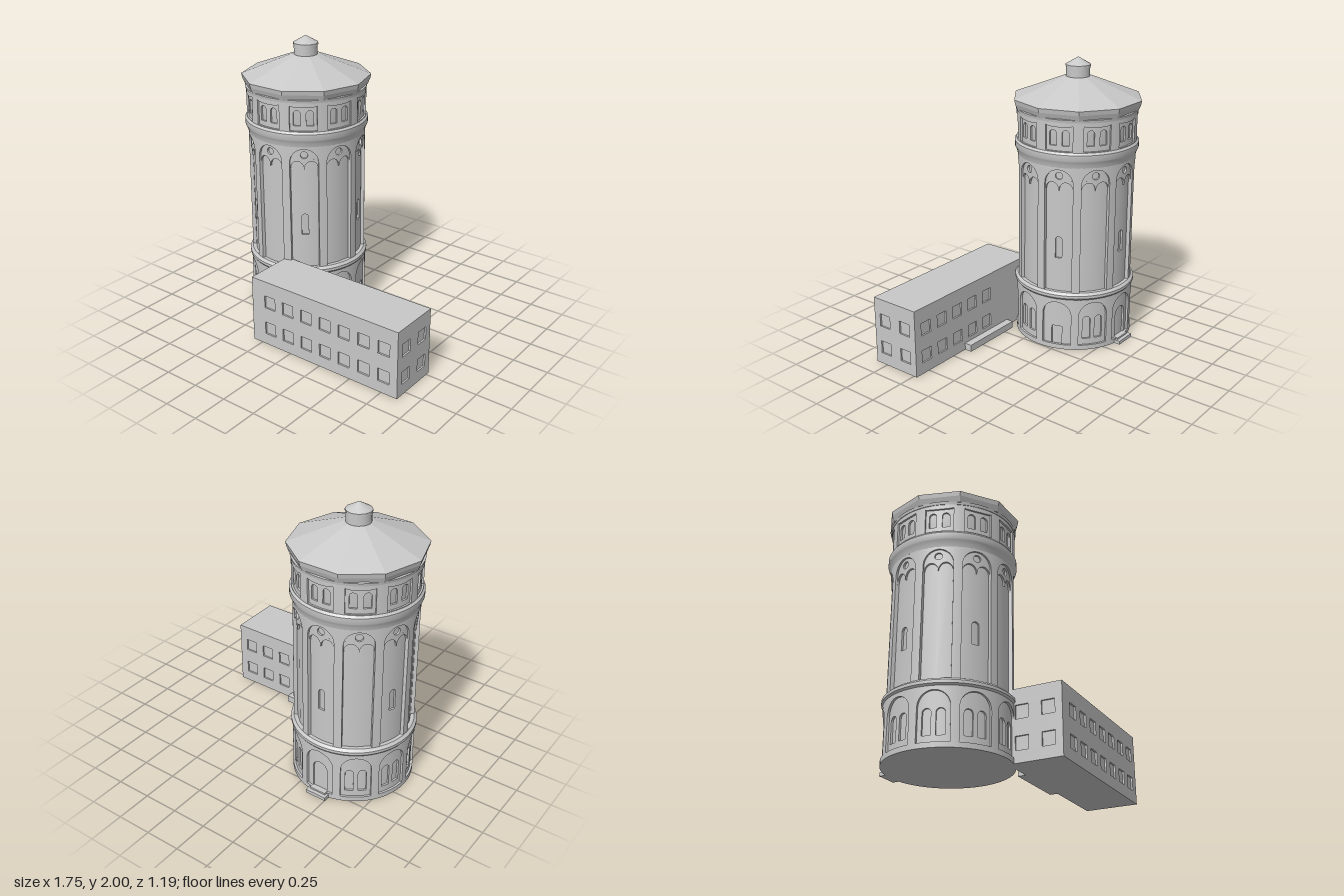
import * as THREE from 'three';
import { mergeGeometries, toCreasedNormals } from 'three/addons/utils/BufferGeometryUtils.js';

const stone = new THREE.MeshStandardMaterial({ color: 0xc8c8c8 });
stone.name = 'pale grey stone';
const DEG = Math.PI / 180;

function add(parent, name, geometry, x = 0, y = 0, z = 0) {
  const mesh = new THREE.Mesh(geometry, stone);
  mesh.name = name;
  mesh.position.set(x, y, z);
  parent.add(mesh);
  return mesh;
}

const box = (x0, x1, y0, y1, z0, z1) => new THREE.BoxGeometry(x1 - x0, y1 - y0, z1 - z0)
  .translate((x0 + x1) / 2, (y0 + y1) / 2, (z0 + z1) / 2);

// Turned part with sharp profile edges
function turned(points, sides, crease = 0.5, start = Math.PI / 2) {
  const profile = points.map(([r, y]) => new THREE.Vector2(r, y));
  return toCreasedNormals(new THREE.LatheGeometry(profile, sides, start), crease);
}

// Curved block between two angles and radii; lo and hi give its edges for t in -1..1
function block(a0, a1, lo, hi, r0, r1, n) {
  const pos = [], index = [], front = [];
  const columns = [];
  for (let i = 0; i <= n; i++) {
    const t = -Math.cos(Math.PI * i / n);
    const a = (a0 + (a1 - a0) * (t + 1) / 2) * DEG;
    const at = (r, y) => [r * Math.sin(a), y, r * Math.cos(a)];
    columns.push([at(r0, lo(t)), at(r1, lo(t)), at(r1, hi(t)), at(r0, hi(t))]);
  }
  // underside, outer face and top as separate smooth strips
  for (let s = 0; s < 3; s++) {
    const base = pos.length / 3;
    columns.forEach((c, i) => {
      if (s === 1) front.push(base + 2 * i, base + 2 * i + 1);
      pos.push(...c[s], ...c[s + 1]);
      const p = base + 2 * i;
      if (i < n) index.push(p, p + 2, p + 3, p, p + 3, p + 1);
    });
  }
  // end caps
  for (const c of [columns[0], [...columns[n]].reverse()]) {
    const p = pos.length / 3;
    c.forEach(v => pos.push(...v));
    index.push(p, p + 1, p + 2, p, p + 2, p + 3);
  }
  const g = new THREE.BufferGeometry();
  g.setAttribute('position', new THREE.Float32BufferAttribute(pos, 3));
  g.setIndex(index);
  g.computeVertexNormals();
  const { position, normal } = g.attributes;
  for (const i of front) {
    const x = position.getX(i), z = position.getZ(i), l = Math.hypot(x, z);
    normal.setXYZ(i, x / l, 0, z / l);
  }
  return g;
}

// Opening centred at angle c, half width w, with an arched head and optional round foot
function opening(c, w, sill, spring, rise = 0, dip = 0) {
  const bow = t => Math.sqrt(Math.max(0, 1 - t * t));
  return { c, w, sill, lo: t => sill - dip * bow(t), hi: t => spring + rise * bow(t) };
}

// Ring wall of ten bays; bay(k) lists the openings of bay k
function ringWall(bay, y0, y1, r0, r1) {
  const parts = [], bottom = () => y0, top = () => y1;
  for (let k = 0; k < 10; k++) {
    const mid = 36 * k;
    let cur = -18;
    const solid = to => {
      if (to - cur > 0.01) parts.push(block(mid + cur, mid + to, bottom, top, r0, r1, 4));
    };
    for (const o of bay(k)) {
      solid(o.c - o.w);
      const a = mid + o.c - o.w, b = mid + o.c + o.w;
      if (o.sill > y0) parts.push(block(a, b, bottom, o.lo, r0, r1, 12));
      parts.push(block(a, b, o.hi, top, r0, r1, 12));
      cur = o.c + o.w;
    }
    solid(18);
  }
  return mergeGeometries(parts);
}

// Thin wall with square window holes, facing +z, centred on x
function facade(width, height, columns, depth) {
  const shape = new THREE.Shape();
  const rect = (path, x0, y0, x1, y1) =>
    path.moveTo(x0, y0).lineTo(x1, y0).lineTo(x1, y1).lineTo(x0, y1).closePath();
  rect(shape, -width / 2, 0, width / 2, height);
  for (const x of columns) for (const y of [0.127, 0.33]) {
    const hole = new THREE.Path();
    rect(hole, x - 0.045, y - 0.046, x + 0.045, y + 0.046);
    shape.holes.push(hole);
  }
  return new THREE.ExtrudeGeometry(shape, { depth, bevelEnabled: false }).translate(0, 0, -depth);
}

function createTower() {
  const tower = new THREE.Group();
  tower.name = 'tower';
  add(tower, 'towerCore', turned([[0, 0], [0.39, 0], [0.39, 0.39], [0.372, 0.42], [0.372, 1.34],
    [0.393, 1.4], [0.393, 1.65], [0, 1.65]], 60));

  // ground storey: paired windows, a side door and a back door in arched bays
  const pair = (w, sill, spring, rise) =>
    [opening(-6.2, w, sill, spring, rise), opening(6.2, w, sill, spring, rise)];
  add(tower, 'baseWindowWall', ringWall(k =>
    k === 3 ? [opening(0, 5.3, 0.02, 0.17)]
      : k === 5 ? [opening(0, 8, 0.03, 0.2, 0.06)]
        : pair(4, 0.08, 0.222, 0.028), 0, 0.4, 0.388, 0.403));
  add(tower, 'baseArches', ringWall(() => [opening(0, 14.3, 0.035, 0.26, 0.1)], 0, 0.4, 0.4, 0.418));
  add(tower, 'baseRing', turned([[0.38, 0.385], [0.418, 0.385], [0.428, 0.398], [0.428, 0.418],
    [0.41, 0.435], [0.37, 0.435]], 60));

  // shaft: tall bays with slit windows in every second one, and tracery heads
  add(tower, 'shaftWall', ringWall(k =>
    k % 2 ? [opening(0, 3.5, 0.68, 0.812, 0.024)] : [], 0.42, 1.35, 0.37, 0.385));
  add(tower, 'pilasters', ringWall(() => [opening(0, 14, 0.42, 1.22, 0.1)], 0.42, 1.35, 0.38, 0.41));
  add(tower, 'traceryArches', ringWall(() =>
    [opening(-7, 7, 1.17, 1.17, 0.06), opening(7, 7, 1.17, 1.17, 0.06)], 1.17, 1.245, 0.384, 0.398));
  add(tower, 'traceryOculi', ringWall(() =>
    [opening(0, 3.7, 1.275, 1.275, 0.025, 0.025)], 1.245, 1.34, 0.384, 0.398));
  add(tower, 'upperRing', turned([[0.37, 1.335], [0.41, 1.335], [0.416, 1.36], [0.425, 1.38],
    [0.43, 1.39], [0.43, 1.43], [0.417, 1.445], [0.39, 1.445]], 60));

  // tank storey with paired windows in shallow bays
  add(tower, 'tankWindowWall', ringWall(() => pair(3.5, 1.485, 1.567, 0.024), 1.44, 1.66, 0.39, 0.405));
  add(tower, 'tankBays', ringWall(() => [opening(0, 13, 1.45, 1.625, -0.012)], 1.44, 1.66, 0.402, 0.417));
  add(tower, 'cornice', turned([[0.4, 1.64], [0.42, 1.645], [0.424, 1.665], [0.4, 1.67]], 60));

  // ten-sided roof with a small lantern
  add(tower, 'roof', turned([[0, 1.66], [0.428, 1.66], [0.436, 1.68], [0.444, 1.7], [0.45, 1.73],
    [0.095, 1.87], [0, 1.87]], 10, 0.15));
  add(tower, 'lantern', turned([[0.082, 1.86], [0.082, 1.942]], 24));
  add(tower, 'lanternCap', turned([[0, 1.938], [0.087, 1.938], [0.087, 1.95], [0, 2]], 12, 0.4));

  // back door steps
  add(tower, 'lowerStep', box(-0.077, 0.077, 0, 0.025, -0.456, -0.39));
  add(tower, 'upperStep', box(-0.06, 0.06, 0, 0.037, -0.43, -0.39));
  return tower;
}

function createAnnex() {
  const annex = new THREE.Group();
  annex.name = 'annex';
  const x0 = -0.327, x1 = 0.873, z0 = 0.224, z1 = 0.595, h = 0.485, d = 0.012;
  const cx = (x0 + x1) / 2, cz = (z0 + z1) / 2;
  add(annex, 'annexCore', box(x0 + d, x1 - d, 0, h, z0 + d, z1 - d));

  const columns = Array.from({ length: 7 }, (_, i) => -0.172 + 0.1565 * i - cx);
  add(annex, 'frontWall', facade(x1 - x0, h, columns, d), cx, 0, z1);
  add(annex, 'backWall', facade(x1 - x0, h, columns.slice(2).map(x => -x), d), cx, 0, z0)
    .rotation.y = Math.PI;
  for (const side of [-1, 1]) {
    add(annex, side > 0 ? 'leftEndWall' : 'rightEndWall', facade(z1 - z0, h, [-0.09, 0.09], d),
      side > 0 ? x1 : x0, 0, cz).rotation.y = side * Math.PI / 2;
  }
  // low platform along the back wall
  add(annex, 'platform', box(-0.09, 0.38, 0, 0.05, 0.17, z0 + 0.01));
  return annex;
}

export function createModel() {
  const model = new THREE.Group();
  model.name = 'waterTower';
  const tower = createTower();
  tower.position.set(-0.424, 0, -0.14);
  model.add(tower, createAnnex());
  return model;
}
